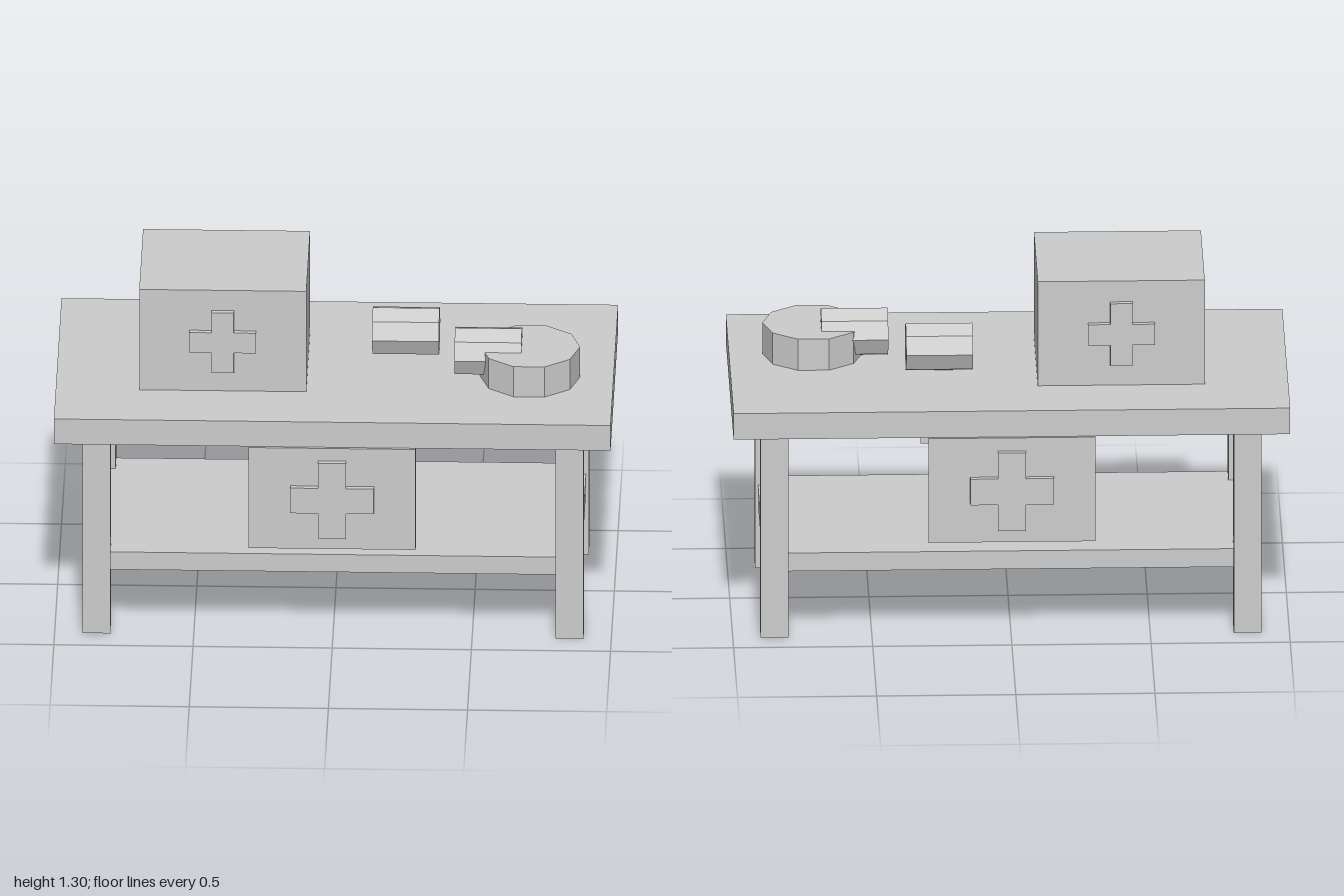
import * as THREE from 'three';

export function createModel() {
  const model = new THREE.Group();
  const grey = new THREE.MeshStandardMaterial({ name: 'grey', color: 0xcccccc, flatShading: true });

  const add = (name, geometry, x, y, z) => {
    const mesh = new THREE.Mesh(geometry, grey);
    mesh.name = name;
    mesh.position.set(x, y, z);
    model.add(mesh);
    return mesh;
  };
  const box = (name, w, h, d, x, y, z) => add(name, new THREE.BoxGeometry(w, h, d), x, y, z);

  // Raised plus sign: a = half length, b = half arm width
  const cross = (a, b, depth) => {
    const points = [[b, a], [-b, a], [-b, b], [-a, b], [-a, -b], [-b, -b],
      [-b, -a], [b, -a], [b, -b], [a, -b], [a, b], [b, b]];
    const shape = new THREE.Shape(points.map(([x, y]) => new THREE.Vector2(x, y)));
    return new THREE.ExtrudeGeometry(shape, { depth, bevelEnabled: false });
  };

  // Table
  box('tableTop', 2, 0.1, 1, 0, 0.85, 0);
  box('lowerShelf', 1.78, 0.07, 0.78, 0, 0.285, 0);
  for (const sx of [-1, 1]) {
    for (const sz of [-1, 1]) box('leg', 0.1, 0.8, 0.1, sx * 0.85, 0.4, sz * 0.35);
  }

  // Supply box on the table
  box('supplyBox', 0.6, 0.4, 0.5, -0.4, 1.1, 0);

  // Hanging panels and crosses, front and back
  for (const side of [1, -1]) {
    const turn = side > 0 ? 0 : Math.PI;
    box('hangingPanel', 0.6, 0.4, 0.02, 0, 0.6, side * 0.5);
    add('panelCross', cross(0.15, 0.05, 0.02), 0, 0.6, side * 0.51).rotation.y = turn;
    add('boxCross', cross(0.12, 0.04, 0.02), -0.4, 1.1, side * 0.25).rotation.y = turn;
  }

  // Two bandage rolls lying on their sides
  for (const [x, z] of [[0.25, -0.08], [0.55, 0.08]]) {
    add('bandageRoll', new THREE.CylinderGeometry(0.09, 0.09, 0.24, 8), x, 0.99, z).rotation.z = Math.PI / 2;
  }

  // Flat round tin
  add('roundTin', new THREE.CylinderGeometry(0.18, 0.18, 0.12, 10), 0.7, 0.96, 0.1).rotation.y = Math.PI / 2;

  return model;
}
